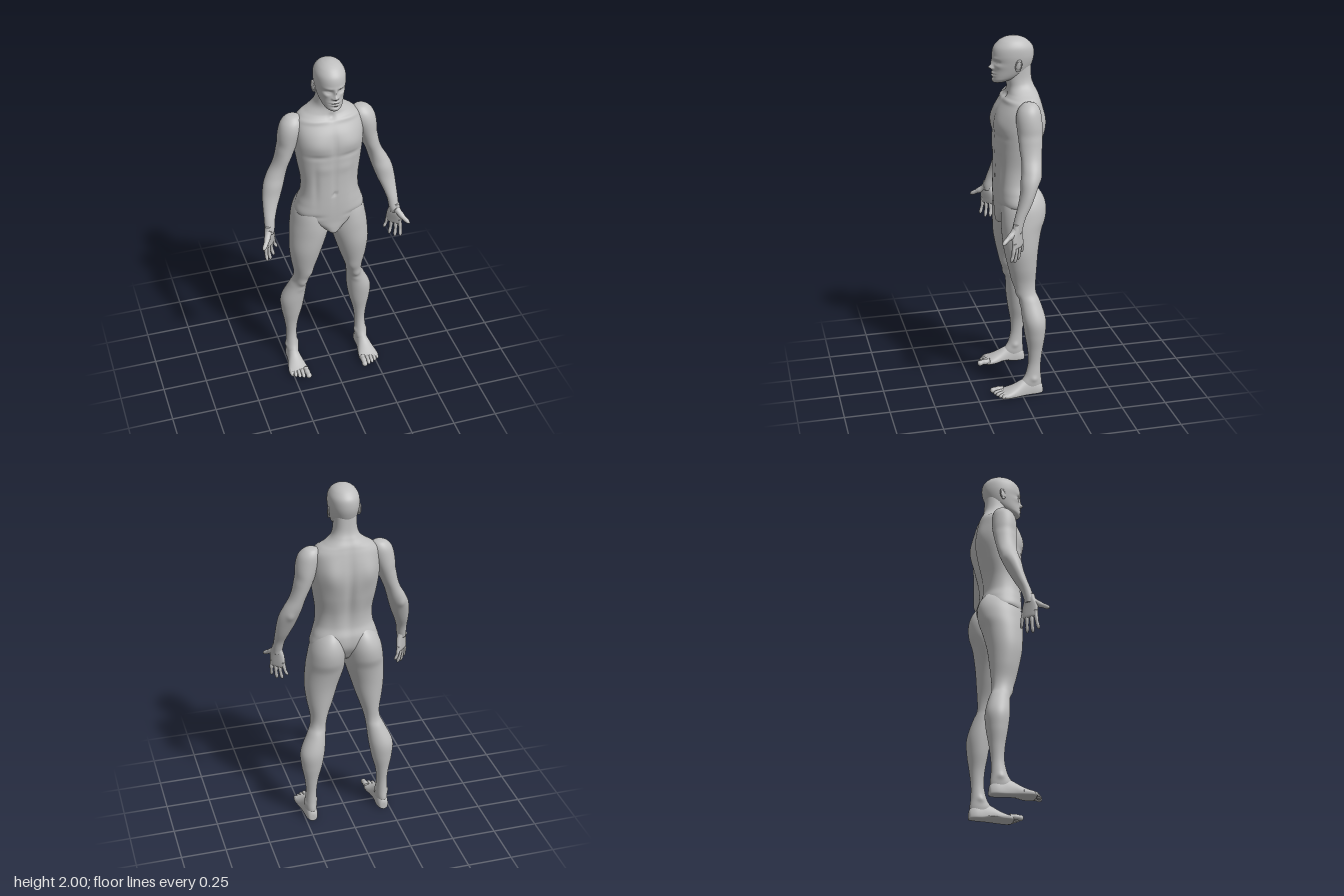
import * as THREE from 'three';

const skinGrey = new THREE.MeshStandardMaterial({ color: 0xbfbfbf });
skinGrey.name = 'skinGrey';

// Smoothly resample rows of numbers (Catmull-Rom on every column)
function resample(rows, n) {
  const last = rows.length - 1, out = [];
  for (let k = 0; k <= n; k++) {
    const f = (k / n) * last, i = Math.min(Math.floor(f), last - 1), t = f - i;
    const [a, b, c, d] = [i - 1, i, i + 1, i + 2].map(q => rows[Math.min(Math.max(q, 0), last)]);
    out.push(b.map((_, m) => b[m] + 0.5 * t * (c[m] - a[m] + t * (2 * a[m] - 5 * b[m] + 4 * c[m] - d[m]
      + t * (3 * (b[m] - c[m]) + d[m] - a[m])))));
  }
  return out;
}

// Closed skin over a list of rings, always wound outwards
function skin(rings) {
  const n = rings[0].length, m = rings.length, pts = rings.flat(), idx = [];
  for (let i = 0; i < m - 1; i++) for (let j = 0; j < n; j++) {
    const a = i * n + j, b = i * n + (j + 1) % n;
    idx.push(a, a + n, b, b, a + n, b + n);
  }
  [0, m - 1].forEach(r => {
    const centre = new THREE.Vector3();
    rings[r].forEach(p => centre.addScaledVector(p, 1 / n));
    const c = pts.push(centre) - 1;
    for (let j = 0; j < n; j++) {
      const a = r * n + j, b = r * n + (j + 1) % n;
      if (r === 0) idx.push(c, a, b); else idx.push(c, b, a);
    }
  });
  let volume = 0;
  const cross = new THREE.Vector3();
  for (let i = 0; i < idx.length; i += 3)
    volume += pts[idx[i]].dot(cross.crossVectors(pts[idx[i + 1]], pts[idx[i + 2]]));
  if (volume < 0) idx.reverse();
  const g = new THREE.BufferGeometry().setFromPoints(pts);
  g.setIndex(idx);
  g.computeVertexNormals();
  return g;
}

// Horizontal sections: [y, xMin, xMax, zFront, zBack]; power below 1 is boxier
function loft(rows, n, sides, power = 1) {
  const bend = v => Math.sign(v) * Math.abs(v) ** power;
  return skin(resample(rows, n).map(([y, x0, x1, zf, zb]) => Array.from({ length: sides }, (_, j) => {
    const a = (j / sides) * Math.PI * 2;
    return new THREE.Vector3((x0 + x1) / 2 + (x1 - x0) / 2 * bend(Math.cos(a)), y,
      (zf + zb) / 2 + (zf - zb) / 2 * bend(Math.sin(a)));
  })));
}
const symmetric = rows => rows.map(([y, r, zf, zb]) => [y, -r, r, zf, zb]);

// Swell or hollow a surface: [x, y, z, spreadX, spreadY, spreadZ, amount], same on both sides
function sculpt(g, bumps, dir) {
  const p = g.attributes.position, nrm = g.attributes.normal, v = new THREE.Vector3(), d = new THREE.Vector3();
  for (let i = 0; i < p.count; i++) {
    v.fromBufferAttribute(p, i);
    let s = 0;
    for (const [x, y, z, sx, sy, sz, k] of bumps)
      s += k * Math.exp(-(((Math.abs(v.x) - x) / sx) ** 2) - ((v.y - y) / sy) ** 2 - ((v.z - z) / sz) ** 2);
    if (dir) d.copy(dir); else d.fromBufferAttribute(nrm, i);
    v.addScaledVector(d, s);
    p.setXYZ(i, v.x, v.y, v.z);
  }
  g.computeVertexNormals();
  return g;
}

// Finger or toe: round tapered tube with a domed tip and slight joints
function digit(points, r0, r1) {
  const curve = new THREE.CatmullRomCurve3(points.map(p => new THREE.Vector3(...p)));
  const n = 24, sides = 14, { normals, binormals } = curve.computeFrenetFrames(n);
  return skin(Array.from({ length: n + 1 }, (_, i) => {
    const t = i / n, dome = t > 0.82 ? Math.sqrt(Math.max(1 - ((t - 0.82) / 0.18) ** 2, 0.0004)) : 1;
    const r = (r0 + (r1 - r0) * t) * dome * (1 + 0.06 * Math.cos(t * Math.PI * 5));
    return Array.from({ length: sides }, (_, j) => {
      const a = (j / sides) * Math.PI * 2;
      return curve.getPointAt(t).addScaledVector(normals[i], r * Math.cos(a)).addScaledVector(binormals[i], r * Math.sin(a));
    });
  }));
}

export function createModel() {
  const model = new THREE.Group();
  const add = (name, g) => {
    const mesh = new THREE.Mesh(g, skinGrey);
    mesh.name = name;
    model.add(mesh);
  };
  const pair = (name, g) => {
    add('left' + name, g);
    const m = g.clone().scale(-1, 1, 1);
    m.setIndex([...g.index.array].reverse());
    m.computeVertexNormals();
    add('right' + name, m);
  };

  // Torso and neck
  add('torso', sculpt(loft(symmetric([
    [0.965, 0.015, 0.085, 0.03], [0.98, 0.035, 0.097, -0.01], [1.01, 0.075, 0.1, -0.07], [1.05, 0.14, 0.1, -0.1],
    [1.1, 0.19, 0.103, -0.125], [1.16, 0.178, 0.105, -0.128], [1.22, 0.16, 0.105, -0.112], [1.3, 0.157, 0.104, -0.115],
    [1.4, 0.172, 0.105, -0.14], [1.48, 0.183, 0.108, -0.155], [1.54, 0.187, 0.107, -0.158], [1.6, 0.185, 0.094, -0.152],
    [1.65, 0.175, 0.066, -0.143], [1.68, 0.148, 0.045, -0.135], [1.7, 0.115, 0.034, -0.128], [1.73, 0.076, 0.029, -0.113],
    [1.77, 0.063, 0.032, -0.1], [1.85, 0.06, 0.03, -0.095]]), 130, 112, 0.86), [
    [0.085, 1.545, 0.1, 0.07, 0.05, 0.06, 0.01], [0, 1.53, 0.11, 0.014, 0.09, 0.05, -0.005], // chest
    [0.085, 1.475, 0.1, 0.07, 0.014, 0.05, -0.005], [0.055, 1.4, 0.1, 0.05, 0.03, 0.04, 0.004],
    [0, 1.3, 0.11, 0.012, 0.13, 0.04, -0.004], [0.1, 1.3, 0.08, 0.016, 0.12, 0.05, -0.005], // abdomen
    [0, 1.235, 0.11, 0.008, 0.01, 0.04, -0.012], [0.11, 1.09, 0.08, 0.05, 0.014, 0.05, -0.005],
    [0.1, 1.665, 0.04, 0.09, 0.01, 0.05, 0.006], [0, 1.685, 0.035, 0.016, 0.016, 0.04, -0.01], // collar bones
    [0.1, 1.55, -0.15, 0.05, 0.08, 0.05, 0.013], [0, 1.4, -0.15, 0.022, 0.24, 0.06, -0.012], // back
    [0.06, 1.28, -0.12, 0.03, 0.1, 0.04, 0.005], [0.05, 1.72, -0.06, 0.04, 0.04, 0.06, 0.006],
    [0, 1.745, 0.035, 0.014, 0.018, 0.03, 0.006]]));

  // Head with a modelled face
  add('head', sculpt(loft(symmetric([
    [1.752, 0.012, 0.098, 0.07], [1.756, 0.028, 0.106, 0.045], [1.77, 0.046, 0.111, 0.005], [1.79, 0.058, 0.111, -0.045],
    [1.82, 0.068, 0.109, -0.085], [1.86, 0.077, 0.107, -0.105], [1.9, 0.082, 0.112, -0.113], [1.94, 0.079, 0.105, -0.108],
    [1.97, 0.064, 0.081, -0.084], [1.988, 0.043, 0.053, -0.056], [1.997, 0.02, 0.025, -0.026], [2, 0.003, 0.004, -0.004]]),
  150, 128, 0.95), [
    [0.03, 1.886, 0.1, 0.026, 0.009, 0.05, 0.004], [0.033, 1.866, 0.1, 0.017, 0.011, 0.05, -0.012], // brow, eyes
    [0.034, 1.865, 0.1, 0.01, 0.006, 0.05, 0.006], [0.034, 1.865, 0.1, 0.012, 0.0015, 0.05, -0.002],
    [0, 1.862, 0.11, 0.009, 0.02, 0.06, 0.012], [0, 1.836, 0.11, 0.011, 0.012, 0.06, 0.023], // nose
    [0.013, 1.831, 0.11, 0.007, 0.007, 0.05, 0.009],
    [0, 1.807, 0.11, 0.022, 0.006, 0.05, 0.008], [0, 1.792, 0.11, 0.018, 0.006, 0.05, 0.007], // lips
    [0, 1.7995, 0.11, 0.023, 0.002, 0.05, -0.004], [0, 1.781, 0.11, 0.02, 0.005, 0.05, -0.003],
    [0, 1.766, 0.11, 0.018, 0.01, 0.05, 0.004], [0.05, 1.846, 0.08, 0.018, 0.014, 0.05, 0.006]],
  new THREE.Vector3(0, 0, 1)));

  // Ears: thick rim around a shallow bowl
  const place = (g, tilt) => g.rotateX(-0.2).rotateY(tilt).translate(0.083, 1.853, -0.012);
  pair('EarRim', place(new THREE.TorusGeometry(0.018, 0.0045, 10, 28).scale(0.8, 1.5, 1).rotateY(Math.PI / 2), -0.35));
  pair('EarBowl', place(new THREE.SphereGeometry(0.018, 20, 14).scale(0.35, 1.5, 0.85), -0.35));

  // Arms
  pair('Arm', sculpt(loft([
    [1.683, 0.175, 0.2, -0.03, -0.055], [1.674, 0.15, 0.226, -0.008, -0.08], [1.645, 0.135, 0.253, 0.018, -0.098],
    [1.6, 0.14, 0.268, 0.03, -0.105], [1.53, 0.165, 0.277, 0.027, -0.107], [1.46, 0.192, 0.287, 0.018, -0.1],
    [1.4, 0.218, 0.306, 0.015, -0.093], [1.34, 0.236, 0.34, 0.02, -0.085], [1.29, 0.251, 0.362, 0.03, -0.07],
    [1.23, 0.272, 0.373, 0.037, -0.045], [1.17, 0.297, 0.377, 0.052, -0.018], [1.11, 0.318, 0.379, 0.072, 0.014],
    [1.06, 0.326, 0.381, 0.085, 0.03], [1.03, 0.332, 0.38, 0.085, 0.037]], 90, 48), [
    [0.24, 1.44, 0.02, 0.04, 0.06, 0.04, 0.005], [0.26, 1.52, -0.04, 0.03, 0.025, 0.08, -0.004],
    [0.31, 1.3, -0.08, 0.02, 0.025, 0.025, 0.006]]));

  // Hands: palm, four fingers and a thumb, palms turned forward and inward
  const hand = new THREE.Matrix4().makeRotationY(-Math.PI / 4).setPosition(0.357, 1.05, 0.06);
  pair('Palm', loft([[0.03, -0.027, 0.027, 0.018, -0.018], [0, -0.031, 0.034, 0.02, -0.019],
    [-0.035, -0.042, 0.046, 0.02, -0.016], [-0.075, -0.048, 0.047, 0.014, -0.014],
    [-0.098, -0.046, 0.044, 0.01, -0.012], [-0.106, -0.036, 0.034, 0.004, -0.006]], 30, 36, 0.85).applyMatrix4(hand));
  [['LittleFinger', -0.038, -0.057, -0.15, 0.0105], ['RingFinger', -0.013, -0.022, -0.184, 0.0115],
    ['MiddleFinger', 0.012, 0.013, -0.191, 0.012], ['IndexFinger', 0.035, 0.048, -0.176, 0.0115]].forEach(([name, x0, x1, y, r]) =>
    pair(name, digit([[x0, -0.07, 0], [(x0 + x1) / 2, (y - 0.09) / 2, 0.001], [x1, y, 0.012]], r, r * 0.75).applyMatrix4(hand)));
  pair('Thumb', digit([[0.015, -0.005, 0.004], [0.05, -0.03, 0.014], [0.078, -0.045, 0.021], [0.108, -0.062, 0.024]],
    0.02, 0.009).applyMatrix4(hand));

  // Legs, including the buttocks at their tops
  pair('Leg', sculpt(loft([
    [1.2, 0.05, 0.12, 0.03, -0.095], [1.15, 0.018, 0.168, 0.07, -0.138], [1.09, 0.005, 0.197, 0.085, -0.158],
    [1.02, 0.003, 0.212, 0.09, -0.154], [0.95, 0.006, 0.221, 0.088, -0.13], [0.85, 0.037, 0.226, 0.08, -0.11],
    [0.75, 0.068, 0.216, 0.06, -0.1], [0.66, 0.1, 0.2, 0.036, -0.094], [0.6, 0.114, 0.203, 0.014, -0.097],
    [0.55, 0.12, 0.225, 0, -0.112], [0.45, 0.13, 0.268, -0.008, -0.138], [0.36, 0.146, 0.265, -0.02, -0.134],
    [0.27, 0.17, 0.249, -0.035, -0.12], [0.19, 0.18, 0.241, -0.038, -0.11], [0.12, 0.179, 0.245, -0.022, -0.11],
    [0.07, 0.178, 0.247, 0.005, -0.115], [0.03, 0.185, 0.24, 0, -0.112]], 120, 64), [
    [0.158, 0.595, 0.01, 0.025, 0.03, 0.03, 0.009], [0.165, 0.54, 0, 0.02, 0.015, 0.03, 0.004], // knee
    [0.12, 0.67, 0.02, 0.03, 0.04, 0.04, 0.007], [0.16, 0.6, -0.1, 0.025, 0.05, 0.03, -0.005],
    [0.245, 0.1, -0.065, 0.02, 0.016, 0.018, 0.007], [0.178, 0.11, -0.06, 0.02, 0.016, 0.018, 0.007]])); // ankle

  // Feet: sections along z [z, xMin, xMax, top] with a flattened sole
  const footRings = resample([
    [-0.121, 0.203, 0.222, 0.04], [-0.114, 0.188, 0.237, 0.06], [-0.085, 0.178, 0.247, 0.088], [-0.04, 0.177, 0.25, 0.1],
    [0, 0.173, 0.256, 0.087], [0.04, 0.165, 0.266, 0.064], [0.08, 0.158, 0.273, 0.044], [0.105, 0.158, 0.272, 0.033],
    [0.12, 0.168, 0.26, 0.024]], 50).map(([z, x0, x1, top]) => Array.from({ length: 40 }, (_, j) => {
    const a = (j / 40) * Math.PI * 2, s = Math.sin(a), sole = 0.02;
    const arch = 0.012 * Math.exp(-(((z - 0.005) / 0.04) ** 2)) * Math.max(-Math.cos(a), 0);
    return new THREE.Vector3((x0 + x1) / 2 + (x1 - x0) / 2 * Math.cos(a),
      s > 0 ? sole + (top - sole) * s : sole * (1 - Math.sqrt(-s)) + arch, z);
  }));
  pair('Foot', skin(footRings));
  [['BigToe', 0.175, 0.17, 0.171, 0.0165], ['SecondToe', 0.2, 0.2, 0.158, 0.0115], ['ThirdToe', 0.22, 0.222, 0.15, 0.011],
    ['FourthToe', 0.239, 0.243, 0.138, 0.0105], ['LittleToe', 0.257, 0.262, 0.124, 0.0105]].forEach(([name, x0, x1, z, r]) =>
    pair(name, digit([[x0, 0.024, z - 0.075], [(x0 + x1) / 2, 0.023, z - 0.03], [x1, r * 0.95, z]], r, r * 0.9)));

  return model;
}
